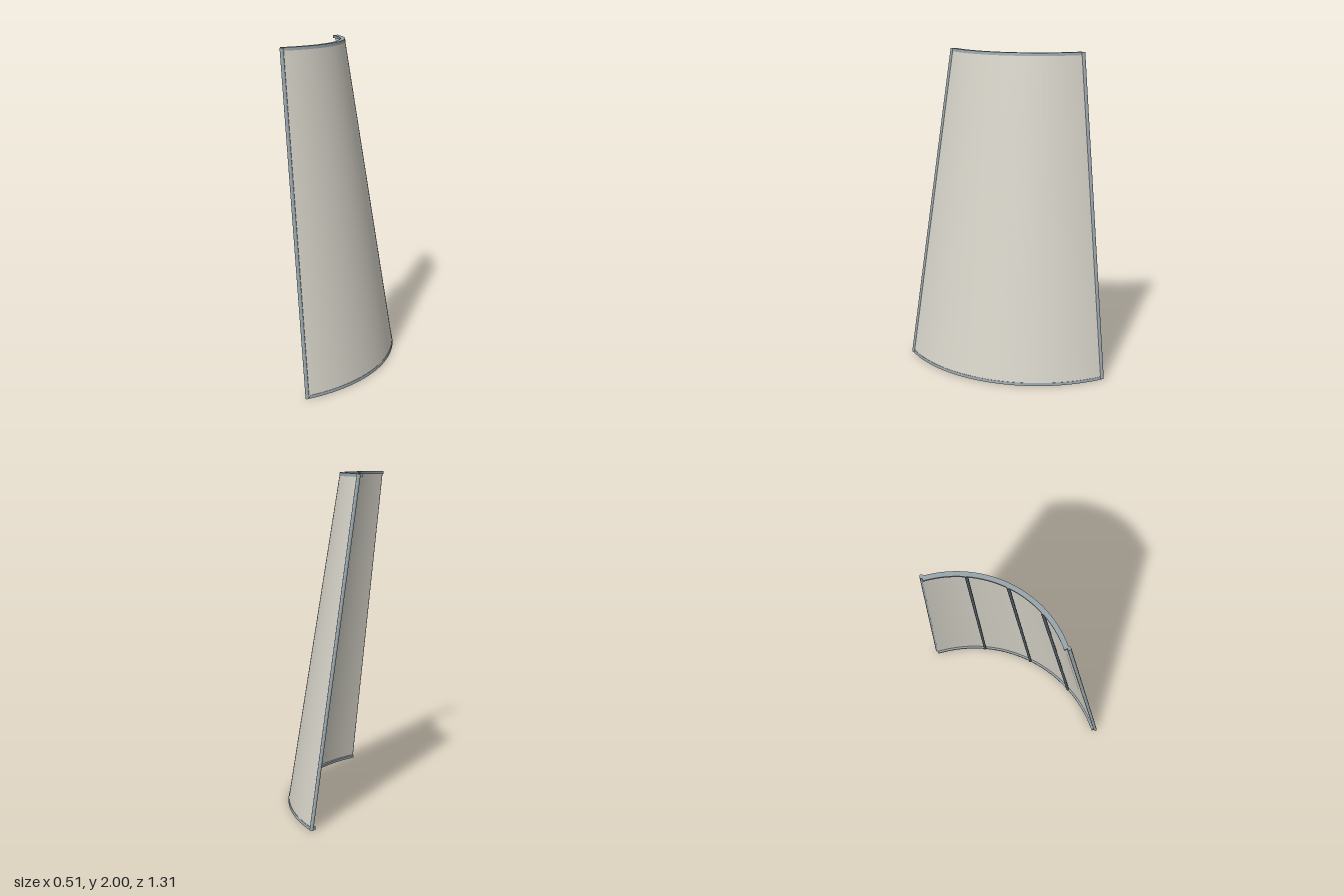
import * as THREE from 'three';
import { toCreasedNormals } from 'three/addons/utils/BufferGeometryUtils.js';

const HEIGHT = 2;
const AXIS_X = -0.66; // cone axis
const BASE_R = 0.911;
const SLOPE = (0.911 - 0.595) / HEIGHT; // radius lost per unit of height
const HALF = Math.PI / 4; // half of the arc covered by the panel

const mat = (name, color) => {
  const m = new THREE.MeshStandardMaterial({ color });
  m.name = name;
  return m;
};

// Conical arc band between two depths measured inward from the cone surface
function coneBand(outer, inner, y0, y1) {
  const rOut = BASE_R - outer, rIn = BASE_R - inner;
  const shape = new THREE.Shape();
  shape.absarc(0, 0, rOut, -HALF, HALF, false);
  shape.absarc(0, 0, rIn, HALF, -HALF, true);
  shape.closePath();
  const geo = new THREE.ExtrudeGeometry(shape, { depth: y1 - y0, bevelEnabled: false, curveSegments: 48 });
  geo.rotateX(-Math.PI / 2).translate(0, y0, 0);
  // Taper: pull every vertex towards the axis as it rises
  const p = geo.attributes.position;
  for (let i = 0; i < p.count; i++) {
    const r = Math.hypot(p.getX(i), p.getZ(i));
    const k = (r - SLOPE * p.getY(i)) / r;
    p.setX(i, p.getX(i) * k);
    p.setZ(i, p.getZ(i) * k);
  }
  return toCreasedNormals(geo.translate(AXIS_X, 0, 0), 0.6);
}

// Round bar running up the cone at a given angle and depth
function coneBar(name, angle, depth, radius, material) {
  const at = (y) => {
    const r = BASE_R - depth - SLOPE * y;
    return new THREE.Vector3(AXIS_X + r * Math.cos(angle), y, r * Math.sin(angle));
  };
  const a = at(0.002), b = at(HEIGHT - 0.002);
  const dir = b.clone().sub(a);
  const bar = new THREE.Mesh(new THREE.CylinderGeometry(radius, radius, dir.length(), 12), material);
  bar.name = name;
  bar.position.copy(a).add(b).multiplyScalar(0.5);
  bar.quaternion.setFromUnitVectors(new THREE.Vector3(0, 1, 0), dir.normalize());
  return bar;
}

export function createModel() {
  const group = new THREE.Group();
  group.name = 'curvedPanel';
  const shellMat = mat('warm ivory', 0xd8d5ca);
  const trimMat = mat('blue grey trim', 0x98a5ab);
  const ribMat = mat('dark slate', 0x566069);

  const add = (name, geo, material) => {
    const m = new THREE.Mesh(geo, material);
    m.name = name;
    group.add(m);
  };

  // Tapered curved skin
  add('panelSkin', coneBand(0, 0.012, 0.004, HEIGHT - 0.003), shellMat);

  // Rims along the bottom and top edges
  add('bottomRim', coneBand(-0.002, 0.027, 0, 0.018), trimMat);
  add('topRim', coneBand(-0.001, 0.027, HEIGHT - 0.018, HEIGHT), trimMat);

  // Side rails
  for (const s of [-1, 1]) {
    group.add(coneBar(s > 0 ? 'frontRail' : 'backRail', s * HALF, 0, 0.011, trimMat));
  }

  // Stiffening ribs on the inner face
  for (const s of [-1, 0, 1]) {
    group.add(coneBar('innerRib', (s * HALF) / 2, 0.024, 0.009, ribMat));
  }
  return group;
}
